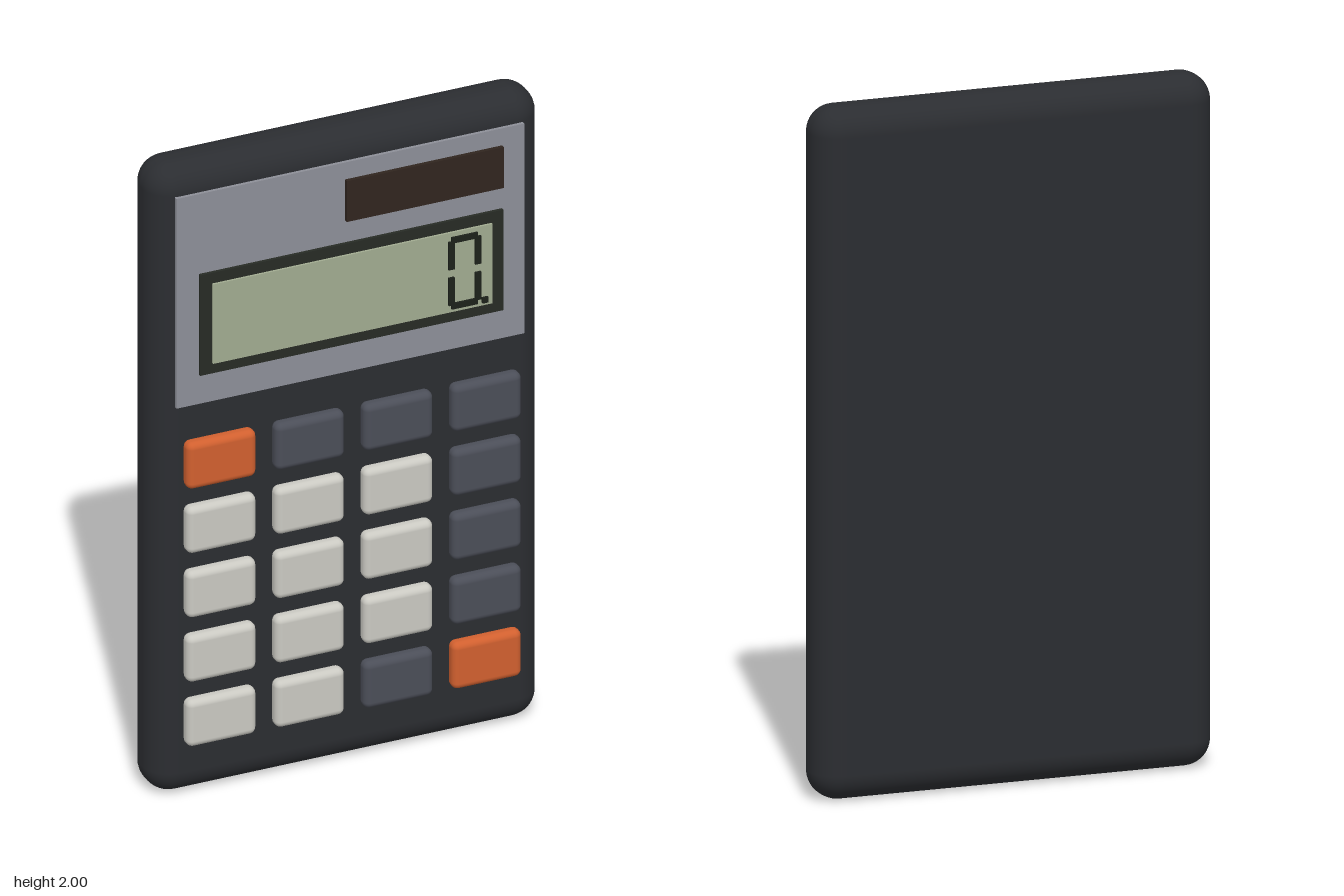
import * as THREE from 'three';
import { RoundedBoxGeometry } from 'three/addons/geometries/RoundedBoxGeometry.js';

const mat = (color) => new THREE.MeshStandardMaterial({ color });
const dark = mat(0x2b2d31), plateGrey = mat(0x8d8f98), frameInk = mat(0x272b25);
const glass = mat(0xa1ab90), solar = mat(0x30251f), ink = mat(0x1c211a);
const orange = mat(0xd1602f), slate = mat(0x4b4e58), ivory = mat(0xcac9c2);

export function createModel() {
  const model = new THREE.Group();
  model.name = 'calculator';

  const add = (parent, name, geometry, material, x, y, z) => {
    const mesh = new THREE.Mesh(geometry, material);
    mesh.name = name;
    mesh.position.set(x, y, z);
    parent.add(mesh);
  };
  // Flat panel spanning z0..z1
  const panel = (parent, name, material, x, y, w, h, z0, z1) =>
    add(parent, name, new THREE.BoxGeometry(w, h, z1 - z0), material, x, y, (z0 + z1) / 2);

  // Case
  add(model, 'case', new RoundedBoxGeometry(1.2, 2, 0.175, 5, 0.08), dark, 0, 1, -0.0225);

  // Face plate, solar cell and display
  panel(model, 'facePlate', plateGrey, 0, 1.583, 1.07, 0.668, 0.055, 0.075);
  panel(model, 'solarCell', solar, 0.225, 1.798, 0.483, 0.13, 0.065, 0.087);
  panel(model, 'displayFrame', frameInk, 0, 1.503, 0.933, 0.32, 0.065, 0.085);
  panel(model, 'displayGlass', glass, 0, 1.503, 0.86, 0.253, 0.075, 0.092);

  // Segments of the displayed digit, with its point
  const digit = new THREE.Group();
  digit.name = 'displayDigit';
  model.add(digit);
  for (const s of [-1, 1]) {
    panel(digit, 'horizontalSegment', ink, 0.342, 1.502 + s * 0.105, 0.08, 0.018, 0.088, 0.099);
    for (const t of [-1, 1]) {
      panel(digit, 'verticalSegment', ink, 0.342 + s * 0.041, 1.502 + t * 0.057, 0.018, 0.088, 0.088, 0.099);
    }
  }
  panel(digit, 'decimalPoint', ink, 0.405, 1.395, 0.018, 0.018, 0.088, 0.099);

  // Keypad: o = orange, s = slate, i = ivory
  const keypad = new THREE.Group();
  keypad.name = 'keypad';
  model.add(keypad);
  const keyMaterials = { o: orange, s: slate, i: ivory };
  const keyGeometry = new RoundedBoxGeometry(0.213, 0.148, 0.047, 4, 0.02);
  ['osss', 'iiis', 'iiis', 'iiis', 'iiso'].forEach((row, r) => {
    [...row].forEach((k, c) => {
      add(keypad, 'key', keyGeometry, keyMaterials[k], (c - 1.5) * 0.272, 1.07 - r * 0.205, 0.0865);
    });
  });

  return model;
}
